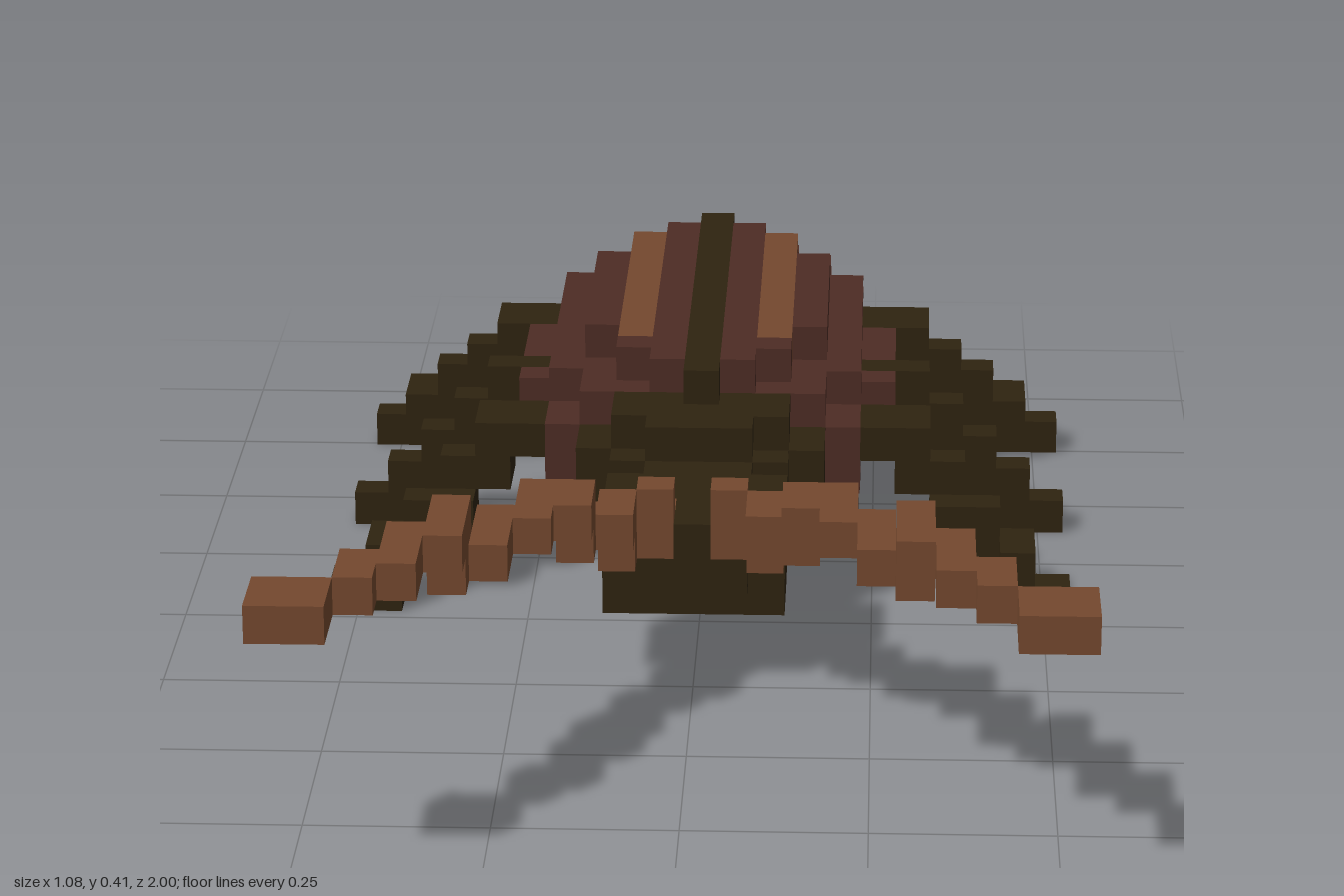
import * as THREE from 'three';
import { mergeGeometries } from 'three/addons/utils/BufferGeometryUtils.js';

const U = 2 / 39; // edge of one cube

// block spanning whole cubes, limits inclusive
function block(x0, x1, y0, y1, z0, z1) {
  const g = new THREE.BoxGeometry((x1 - x0 + 1) * U, (y1 - y0 + 1) * U, (z1 - z0 + 1) * U);
  g.translate(((x0 + x1) / 2) * U, ((y0 + y1 + 1) / 2) * U, ((z0 + z1) / 2) * U);
  return g;
}

// block centred on x = 0 with a given half width in cubes
const slab = (w, y0, y1, z0, z1) => [-w, w, y0, y1, z0, z1];

// the same block on both sides
const pair = ([x0, x1, ...rest]) => [[x0, x1, ...rest], [-x1, -x0, ...rest]];

export function createModel() {
  const model = new THREE.Group();
  model.name = 'beetle';
  const colour = (name, hex) => {
    const m = new THREE.MeshStandardMaterial({ color: hex });
    m.name = name;
    return m;
  };
  const dark = colour('dark shell', 0x2e2310);
  const brown = colour('brown shell', 0x4d2c24);
  const tan = colour('tan', 0x74482e);

  const part = (name, material, blocks) => {
    const mesh = new THREE.Mesh(mergeGeometries(blocks.map((b) => block(...b))), material);
    mesh.name = name;
    model.add(mesh);
  };

  // rounded abdomen, layer by layer from the belly up
  part('abdomen', brown, [
    slab(1, 1, 1, -12, -6),
    slab(4, 2, 2, -12, -6), slab(3, 2, 2, -14, -4), slab(2, 2, 2, -16, -3), slab(1, 2, 2, -17, -17),
    slab(4, 3, 4, -15, -3), slab(3, 3, 4, -17, -16), slab(2, 3, 4, -18, -18), slab(1, 3, 4, -19, -19),
    slab(5, 3, 3, -11, -7),
    ...pair([5, 5, 4, 4, -11, -9]), ...pair([5, 5, 4, 4, -7, -7]),
    slab(4, 5, 5, -13, -5), slab(3, 5, 5, -15, -3), slab(2, 5, 5, -16, -16),
    ...pair([1, 1, 5, 5, -17, -17]),
  ]);

  // wing cases with stripes and a dark seam
  part('wingCases', brown, [
    [1, 1, 6, 6, -15, -3], [2, 2, 6, 6, -4, -4], [3, 3, 6, 6, -12, -6],
  ].flatMap(pair));
  part('wingStripes', tan, pair([2, 2, 6, 6, -14, -5]));
  part('wingSeam', dark, [[0, 0, 6, 6, -16, -2], [0, 0, 5, 5, -18, -17]]);

  // thorax and neck
  part('thorax', dark, [
    slab(2, 2, 2, -2, -1), slab(3, 3, 4, -2, -1), slab(2, 5, 5, -2, -1),
    slab(2, 3, 4, 0, 0), slab(1, 5, 5, 0, 0),
  ]);
  part('neck', dark, [slab(1, 2, 4, 1, 1)]);

  // head with a short snout
  part('head', dark, [
    slab(2, 2, 3, 2, 4), slab(2, 4, 4, 2, 3),
    ...pair([2, 2, 4, 4, 4, 4]), [0, 0, 4, 4, 4, 5], slab(1, 3, 3, 5, 5),
  ]);

  // long antennae stepping up and outward
  part('antennae', tan, [
    [1, 1, 4, 4, 4, 5], [1, 1, 5, 5, 5, 5], [2, 2, 4, 4, 6, 6], [2, 2, 5, 5, 6, 7],
    [3, 3, 5, 5, 7, 8], [3, 3, 6, 6, 8, 9], [4, 4, 6, 6, 8, 10], [5, 5, 6, 6, 10, 12],
    [6, 6, 6, 6, 12, 13], [6, 6, 7, 7, 12, 14], [7, 7, 7, 7, 14, 16],
    [8, 8, 7, 7, 16, 17], [9, 10, 7, 7, 18, 19],
  ].flatMap(pair));

  // stepped legs; the rear pair mirrors the front pair about z = -8
  const frontLeg = [
    [9, 10, 0, 0, -1, -1], [9, 9, 1, 1, -2, -1], [8, 8, 1, 1, -2, -2],
    [8, 8, 2, 2, -2, -2], [7, 7, 2, 2, -3, -2], [7, 7, 3, 3, -3, -3],
    [6, 6, 3, 3, -4, -3], [5, 6, 4, 4, -4, -3],
  ];
  const rearLeg = frontLeg.map(([a, b, c, d, z0, z1]) => [a, b, c, d, -16 - z1, -16 - z0]);
  const middleLeg = [0, 1, 2, 3, 4].map((y) => [9 - y, 10 - y, y, y, -8, -8]);
  part('frontLegs', dark, frontLeg.flatMap(pair));
  part('middleLegs', dark, middleLeg.flatMap(pair));
  part('rearLegs', dark, rearLeg.flatMap(pair));

  return model;
}
